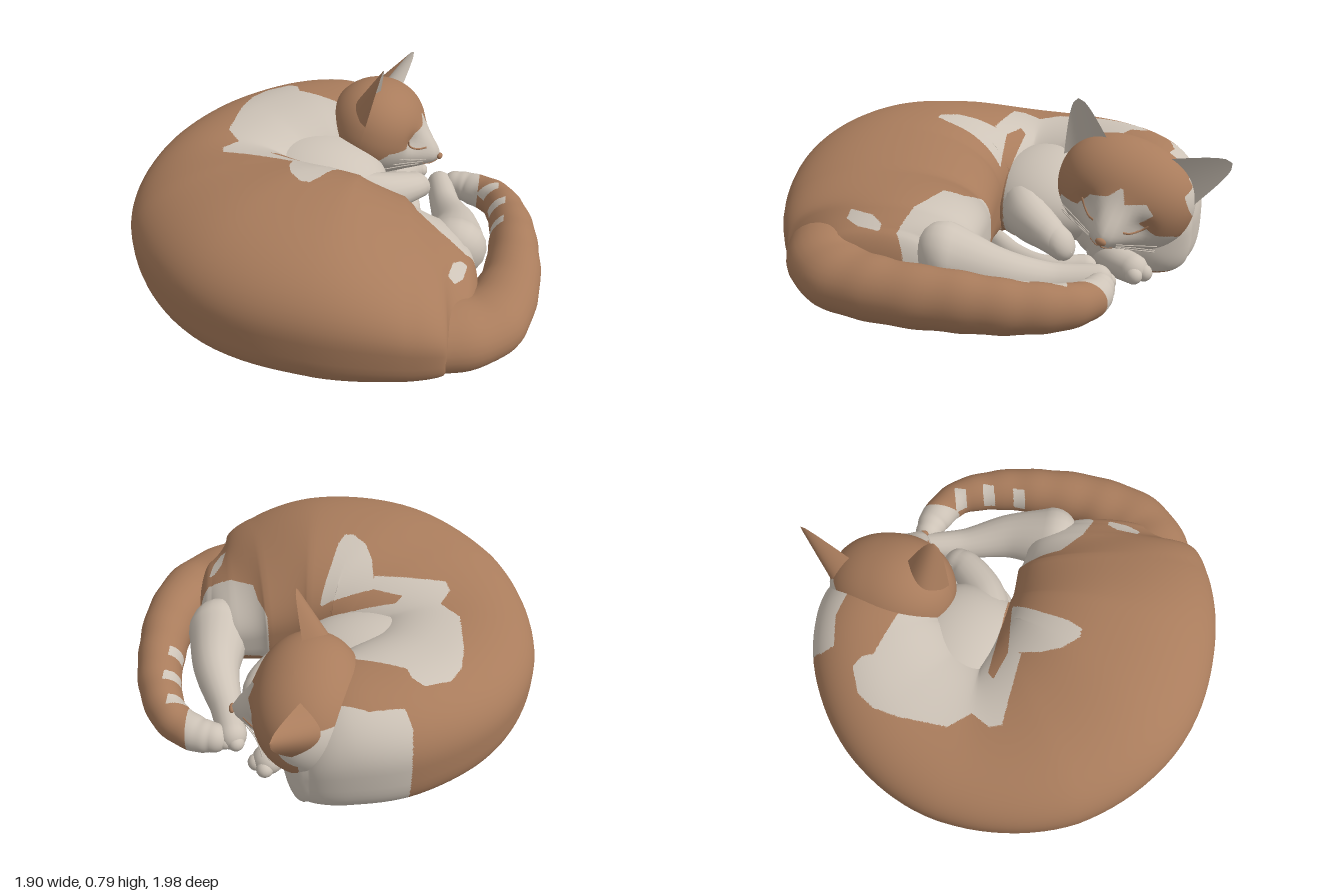
import * as THREE from 'three';

const fur = new THREE.MeshStandardMaterial({ color: 0xa97c5c, name: 'ginger fur' });
const cream = new THREE.MeshStandardMaterial({ color: 0xcdc3b7, name: 'cream fur' });
const V = (x, y, z) => new THREE.Vector3(x, y, z);
const pow = (v, e) => Math.sign(v) * Math.abs(v) ** e;

// Point-in-polygon test used to lay out coat patches
function inside(poly, x, y) {
  let hit = false;
  poly.forEach(([ax, ay], i) => {
    const [bx, by] = poly[(i + 1) % poly.length];
    if ((ay > y) !== (by > y) && x < ax + (bx - ax) * (y - ay) / (by - ay)) hit = !hit;
  });
  return hit;
}

// Sort faces into ginger and cream groups, dividing those on a patch edge
function coat(name, geo, isCream) {
  const pos = [...geo.attributes.position.array], nor = [...geo.attributes.normal.array];
  const idx = geo.index.array, sets = [[], []];
  const at = i => V(pos[3 * i], pos[3 * i + 1], pos[3 * i + 2]);
  const middle = (a, b) => {
    for (const list of [pos, nor]) for (let k = 0; k < 3; k++) list.push((list[3 * a + k] + list[3 * b + k]) / 2);
    return pos.length / 3 - 1;
  };
  const place = (a, b, c, depth) => {
    const n = [a, b, c].filter(i => isCream(at(i))).length;
    if (depth === 0 || n % 3 === 0) return sets[n > 1 ? 1 : 0].push(a, b, c);
    const ab = middle(a, b), bc = middle(b, c), ca = middle(c, a);
    for (const t of [[a, ab, ca], [ab, b, bc], [ca, bc, c], [ab, bc, ca]]) place(...t, depth - 1);
  };
  for (let i = 0; i < idx.length; i += 3) place(idx[i], idx[i + 1], idx[i + 2], 3);
  const out = new THREE.BufferGeometry();
  out.setAttribute('position', new THREE.Float32BufferAttribute(pos, 3));
  out.setAttribute('normal', new THREE.Float32BufferAttribute(nor, 3));
  out.setIndex([...sets[0], ...sets[1]]);
  out.addGroup(0, sets[0].length, 0);
  out.addGroup(sets[0].length, sets[1].length, 1);
  const mesh = new THREE.Mesh(out, [fur, cream]);
  mesh.name = name;
  return mesh;
}

// Smooth loft; stations are [x, y, z, half width, half height], with domed ends
function loft(stations, { rings = 24, sides = 18, top = 1, base = 1, dome = 1, ripple = 0 } = {}) {
  const path = new THREE.CatmullRomCurve3(stations.map(s => V(s[0], s[1], s[2])));
  const size = new THREE.CatmullRomCurve3(stations.map(s => V(s[3], s[4], 0)));
  const rows = [], caps = 8;
  for (let i = 0; i < caps; i++) rows.push([0, -Math.cos(i / caps * Math.PI / 2)]);
  for (let i = 0; i <= rings; i++) rows.push([i / rings, 0]);
  for (let i = 1; i <= caps; i++) rows.push([1, Math.sin(i / caps * Math.PI / 2)]);
  const pos = [], idx = [];
  rows.forEach(([t, d], i) => {
    const c = path.getPoint(t), s = size.getPoint(t), T = path.getTangent(t);
    const side = V(-T.z, 0, T.x).normalize();
    c.addScaledVector(T, d * Math.min(s.x, s.y) * dome);
    const k = Math.max(0.01, Math.sqrt(Math.max(0, 1 - d * d))) * (1 + ripple * Math.sin(t * 75));
    for (let j = 0; j < sides; j++) {
      const a = j / sides * Math.PI * 2, e = Math.sin(a) < 0 ? base : top;
      const w = pow(Math.cos(a), e) * s.x * k, h = pow(Math.sin(a), e) * s.y * k;
      pos.push(c.x + side.x * w, c.y + h, c.z + side.z * w);
      if (i < rows.length - 1) {
        const n = (j + 1) % sides, A = i * sides + j, B = i * sides + n;
        idx.push(A, A + sides, B, B, A + sides, B + sides);
      }
    }
  });
  const geo = new THREE.BufferGeometry();
  geo.setAttribute('position', new THREE.Float32BufferAttribute(pos, 3));
  geo.setIndex(idx);
  geo.computeVertexNormals();
  return geo;
}

// Coat patches of the trunk, as x, z outlines
const patches = [
  [[-0.58, -0.35], [-0.56, -0.47], [-0.51, -0.55], [-0.4, -0.6], [-0.35, -0.57], [-0.33, -0.52], [-0.12, -0.46],
    [-0.04, -0.3], [0.3, -0.35], [0.2, 0], [-0.04, 0], [-0.3, -0.01], [-0.33, 0.02], [-0.2, 0.06], [-0.2, 0.12],
    [-0.53, 0.1], [-0.55, 0.05], [-0.5, -0.04], [-0.58, -0.13]],
  [[-0.2, 0.06], [-0.19, 0.2], [-0.16, 0.29], [-0.1, 0.36], [-0.06, 0.36], [-0.03, 0.3], [0, 0.18], [0.05, 0.03]],
  [[0.3, 0.04], [0.35, 0.12], [0.38, 0.2], [0.5, 0.29], [0.62, 0.33], [0.72, 0.24], [0.85, -0.2], [0.25, -0.2]],
  [[0.56, 0.55], [0.57, 0.45], [0.6, 0.4], [0.63, 0.4], [0.62, 0.5], [0.59, 0.56]],
];
const napePatch = [[-0.36, -1], [-0.35, -0.77], [-0.32, -0.71], [-0.18, -0.74], [0, -0.7], [0, -0.3], [0.6, -0.3], [0.6, -1]];
const trunkCream = c => (c.y > 0.035 && inside(napePatch, c.x, c.z))
  || (c.y > 0.12 && patches.some(p => inside(p, c.x, c.z)));

// Face markings, as a z, y outline
const faceMark = [[-0.1, 0.3], [-0.24, 0.31], [-0.28, 0.38], [-0.36, 0.37], [-0.42, 0.43], [-0.5, 0.44], [-0.56, 0.48],
  [-0.57, 0.41], [-0.66, 0.41], [-0.69, 0.36], [-0.63, 0.32], [-0.7, 0.26], [-0.77, 0.24], [-0.83, 0.19],
  [-0.85, 0.3], [-0.81, 0.42], [-0.98, 0.5], [-0.98, 0], [-0.1, 0]];
const headCream = c => c.x > 0.1 ? inside(faceMark, c.z, c.y) : c.y < 0.47 && c.z < -0.7;

// Matrix from an origin, an up direction and a rough facing direction
function frame(origin, up, facing) {
  const y = up.clone().normalize(), x = y.clone().cross(facing).normalize();
  return new THREE.Matrix4().makeBasis(x, y, x.clone().cross(y)).setPosition(origin);
}
const headFrame = frame(V(0.07, 0.38, -0.55), V(0.22, 0.92, -0.3), V(0.95, -0.2, 0.14));

// Skull rule: broad rounded form with a muzzle, a brow and shallow eye hollows
function skull(d) {
  const p = V(pow(d.x, 0.9) * 0.31, pow(d.y, 0.92) * 0.24, d.z * 0.24);
  const bump = (x, y, r) => Math.exp(-((p.x - x) ** 2 + (p.y - y) ** 2) / (r * r));
  if (p.z > 0) {
    const f = Math.min(1, p.z / 0.12);
    p.z += f * (0.11 * bump(0, -0.065, 0.09) + 0.03 * bump(0, 0.01, 0.07)
      - 0.025 * (bump(0.12, 0, 0.05) + bump(-0.12, 0, 0.05)));
  }
  return p;
}
const onFace = (x, y, lift) => {
  const d = V(pow(x / 0.31, 1 / 0.9), pow(y / 0.24, 1 / 0.92), 0);
  d.z = Math.sqrt(1 - d.lengthSq());
  const p = skull(d);
  p.z += lift;
  return p.applyMatrix4(headFrame);
};

function strand(name, points, radius, material) {
  const curve = new THREE.CatmullRomCurve3(points);
  const mesh = new THREE.Mesh(new THREE.TubeGeometry(curve, 14, radius, 6), material);
  mesh.name = name;
  return mesh;
}

// Cupped ear: a cream inner sheet and a deeper ginger outer sheet
function ear(name, base, tip, facing) {
  const g = new THREE.Group(), len = tip.distanceTo(base);
  g.name = name;
  for (const [part, flip, depth, mat] of [['innerEar', 1, 0.035, cream], ['outerEar', -1, 0.1, fur]]) {
    const geo = new THREE.PlaneGeometry(2, 1, 16, 14), p = geo.attributes.position;
    for (let i = 0; i < p.count; i++) {
      const u = p.getX(i), v = p.getY(i) + 0.5;
      const half = 0.115 * Math.sqrt(1 - v) * (1 - 0.2 * v);
      p.setXYZ(i, flip * u * half, v * len, 0.015 - depth * (1 - u * u) * (1 - v));
    }
    geo.applyMatrix4(frame(base, tip.clone().sub(base), facing));
    geo.computeVertexNormals();
    const mesh = new THREE.Mesh(geo, mat);
    mesh.name = part;
    g.add(mesh);
  }
  return g;
}

export function createModel() {
  const cat = new THREE.Group();
  cat.name = 'sleepingCat';

  // Curled trunk from rump to neck: x, z, half width, height
  const spine = [[0.62, 0.42, 0.28, 0.31], [0.53, 0.43, 0.4, 0.38], [0.38, 0.465, 0.46, 0.49],
    [0.1, 0.5, 0.49, 0.6], [-0.2, 0.45, 0.5, 0.61], [-0.45, 0.24, 0.47, 0.56], [-0.56, -0.05, 0.39, 0.5],
    [-0.46, -0.33, 0.37, 0.51], [-0.24, -0.52, 0.34, 0.53], [-0.02, -0.6, 0.29, 0.51], [0.1, -0.62, 0.23, 0.4]];
  cat.add(coat('trunk', loft(spine.map(([x, z, w, h]) => [x, 0.02 + h / 2, z, w, h / 2]),
    { rings: 100, sides: 64, top: 0.92, base: 0.53, dome: 0.5 }), trunkCream));

  // Chest filling the inside of the curl
  const chest = new THREE.SphereGeometry(1, 40, 28).scale(0.38, 0.22, 0.33).translate(-0.19, 0.25, -0.17);
  cat.add(coat('chest', chest, trunkCream));

  // Head
  const head = new THREE.SphereGeometry(1, 72, 52), p = head.attributes.position, v = V(0, 0, 0);
  for (let i = 0; i < p.count; i++) p.setXYZ(i, ...skull(v.fromBufferAttribute(p, i)).toArray());
  head.applyMatrix4(headFrame);
  head.computeVertexNormals();
  cat.add(coat('head', head, headCream));
  cat.add(ear('rightEar', V(0.06, 0.55, -0.38), V(0.115, 0.81, -0.335), V(0.97, -0.1, 0.1)));
  cat.add(ear('leftEar', V(0.09, 0.45, -0.79), V(0.175, 0.585, -1), V(0.95, 0.1, 0.1)));

  // Nose, closed eyes, mouth and whiskers
  const nose = new THREE.Mesh(new THREE.SphereGeometry(0.024, 16, 10).scale(1, 0.7, 0.6), fur);
  nose.name = 'nose';
  nose.position.copy(onFace(0, -0.045, 0));
  nose.quaternion.setFromRotationMatrix(headFrame);
  cat.add(nose);
  for (const s of [1, -1]) {
    const line = pts => pts.map(([x, y]) => onFace(s * x, y, 0));
    cat.add(strand('closedEye', line([[0.065, -0.01], [0.095, -0.025], [0.13, -0.015], [0.155, 0.015]]), 0.005, fur));
    cat.add(strand('mouth', line([[0, -0.065], [0.015, -0.092], [0.05, -0.098]]), 0.003, fur));
    for (let k = 0; k < 3; k++) {
      const y = -0.07 - k * 0.018;
      cat.add(strand('whisker', [onFace(s * 0.06, y, 0), onFace(s * 0.13, y - 0.01, 0.02),
        onFace(s * 0.22, y - 0.02 * k, 0.03)], 0.0025, cream));
    }
  }

  // Legs and paws: x, y, z, half width, half height
  const legs = {
    hindLeg: [[0.55, 0.19, 0.12, 0.15, 0.16], [0.54, 0.14, -0.08, 0.11, 0.12], [0.47, 0.1, -0.3, 0.075, 0.08],
      [0.42, 0.1, -0.48, 0.065, 0.07]],
    upperForeleg: [[0.0, 0.26, -0.06, 0.11, 0.14], [0.16, 0.25, -0.13, 0.1, 0.11], [0.29, 0.23, -0.25, 0.08, 0.075],
      [0.32, 0.21, -0.3, 0.07, 0.07]],
    lowerForeleg: [[0.08, 0.08, 0.04, 0.05, 0.055], [0.22, 0.08, -0.08, 0.055, 0.055], [0.3, 0.08, -0.22, 0.05, 0.055],
      [0.26, 0.08, -0.4, 0.055, 0.055]],
    forePaw: [[0.08, 0.09, -0.46, 0.08, 0.07], [0.19, 0.09, -0.54, 0.075, 0.07], [0.25, 0.09, -0.61, 0.07, 0.065]],
  };
  for (const [name, stations] of Object.entries(legs)) {
    const mesh = new THREE.Mesh(loft(stations), cream);
    mesh.name = name;
    cat.add(mesh);
  }
  // Toes on the two paws beside the chin
  for (const [x, y, z] of [[0.4, 0.09, -0.52], [0.45, 0.09, -0.51], [0.26, 0.08, -0.66], [0.3, 0.08, -0.62]]) {
    const toe = new THREE.Mesh(new THREE.SphereGeometry(0.038, 16, 12), cream);
    toe.name = 'toe';
    toe.position.set(x, y, z);
    cat.add(toe);
  }

  // Tail wrapped forward along the left side, with pale bars and tip
  const tail = loft([[0.3, 0.2, 0.62, 0.26, 0.18], [0.52, 0.18, 0.66, 0.2, 0.16], [0.72, 0.155, 0.56, 0.165, 0.135],
    [0.81, 0.15, 0.32, 0.135, 0.13], [0.82, 0.145, 0.04, 0.115, 0.125], [0.79, 0.13, -0.2, 0.1, 0.11],
    [0.71, 0.115, -0.39, 0.085, 0.095], [0.58, 0.1, -0.48, 0.08, 0.08], [0.5, 0.1, -0.5, 0.065, 0.07]],
  { rings: 90, sides: 28, ripple: 0.015 });
  const bars = [[0.67, -0.36], [0.71, -0.22], [0.71, -0.06]];
  cat.add(coat('tail', tail, c => (c.x < 0.62 && c.z < -0.35)
    || (c.y > 0.14 && bars.some(([x, z]) => c.x < x + 0.05 && Math.abs(c.z - z + (c.x - x) * 0.3) < 0.03))));
  return cat;
}
